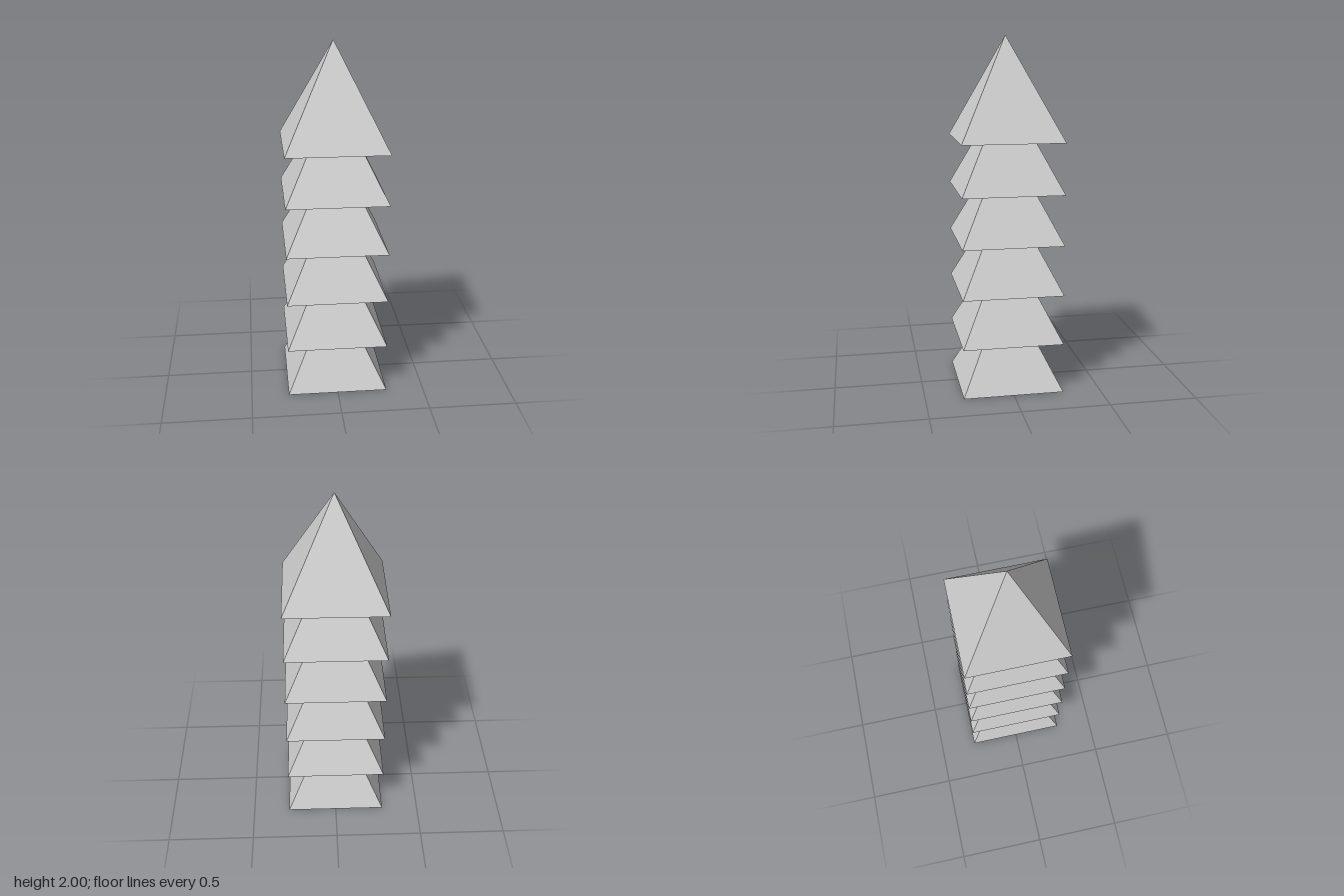
import * as THREE from 'three';

const TIERS = 6;
const STEP = 2 / (TIERS + 1);   // rise from one tier to the next
const HEIGHT = STEP * 2;        // each pyramid reaches the base of the tier two above
const HALF_WIDTH = STEP;

export function createModel() {
  const model = new THREE.Group();
  model.name = 'tieredPyramidTower';
  const material = new THREE.MeshStandardMaterial({ color: 0xcccccc, flatShading: true });

  // Square pyramid with its base on y = 0 and its sides facing the axes
  const pyramid = new THREE.ConeGeometry(HALF_WIDTH * Math.SQRT2, HEIGHT, 4);
  pyramid.rotateY(Math.PI / 4);
  pyramid.translate(0, HEIGHT / 2, 0);

  // Stack of identical overlapping tiers
  for (let i = 0; i < TIERS; i++) {
    const tier = new THREE.Mesh(pyramid, material);
    tier.name = `pyramidTier${i + 1}`;
    tier.position.y = i * STEP;
    model.add(tier);
  }
  return model;
}
